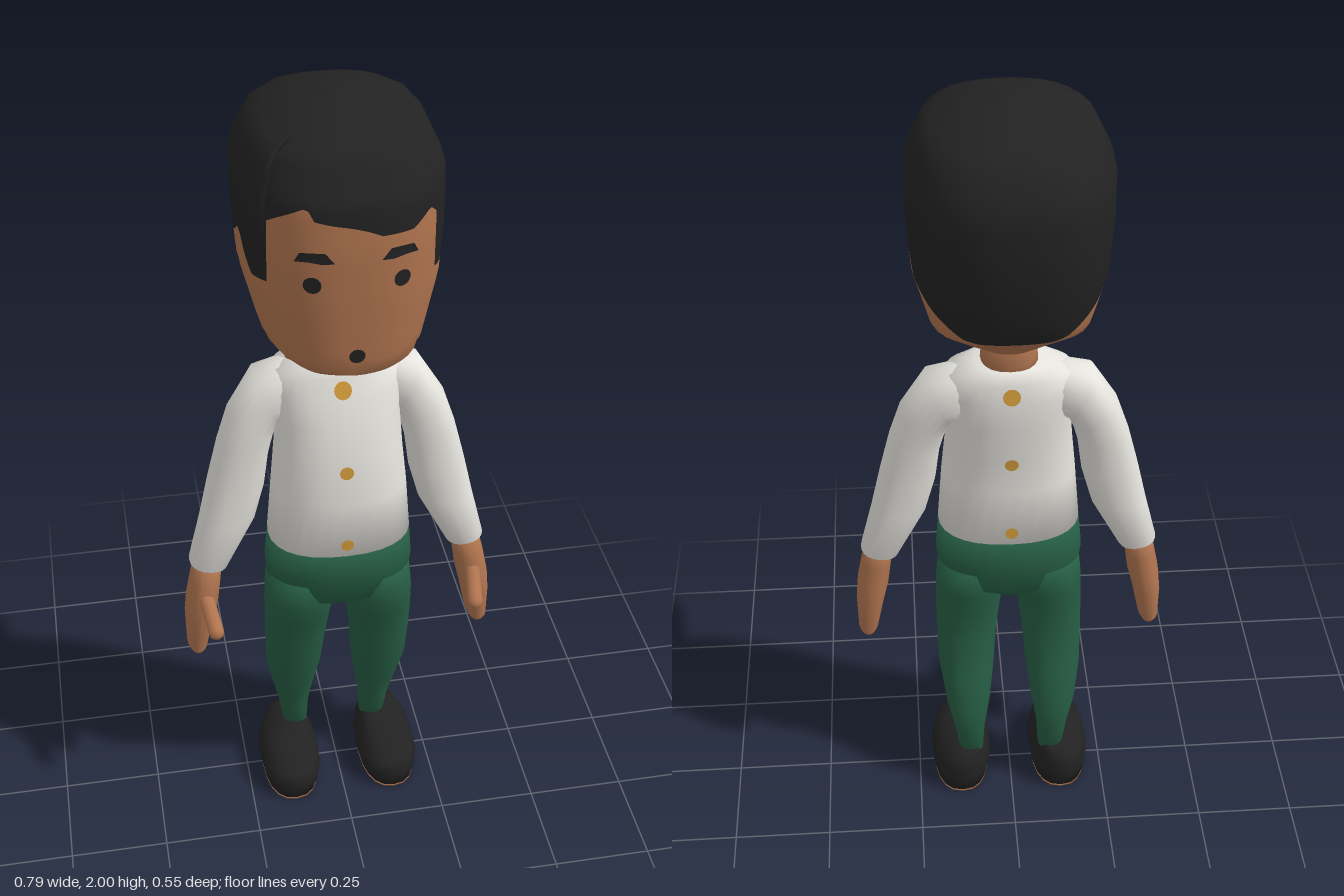
import * as THREE from 'three';

const mat = (name, color) => Object.assign(new THREE.MeshStandardMaterial({ color }), { name });

// A ring is [x0, y0, x1, y1, zFront, zBack, yFront?, yBack?]: its two side points and its depth.
// Returns the point at height parameter t (ring index) and angle a (0 = front, 90 deg = +x).
function ringPoint(rings, n, t, a) {
  const i = Math.min(Math.floor(t), rings.length - 2), f = t - i;
  const full = r => [...r.slice(0, 6), r[6] ?? (r[1] + r[3]) / 2, r[7] ?? (r[1] + r[3]) / 2];
  const lo = full(rings[i]), hi = full(rings[i + 1]);
  const [x0, y0, x1, y1, zf, zb, yf, yb] = lo.map((v, k) => v + (hi[k] - v) * f);
  const power = v => Math.sign(v) * Math.abs(v) ** (2 / n);
  const s = power(Math.sin(a)), c = power(Math.cos(a));
  const ym = (y0 + y1) / 2;
  return new THREE.Vector3(
    (x0 + x1) / 2 + (x1 - x0) / 2 * s,
    ym + (y1 - y0) / 2 * s + ((c > 0 ? yf : yb) - ym) * c * c,
    (zf + zb) / 2 + (zf - zb) / 2 * c);
}

// Height parameter at which the surface reaches y
function findT(rings, n, y, a) {
  let lo = 0, hi = rings.length - 1;
  for (let k = 0; k < 24; k++) {
    const m = (lo + hi) / 2;
    if (ringPoint(rings, n, m, a).y < y) lo = m; else hi = m;
  }
  return lo;
}

// Closed skin over rows of points, listed from bottom to top
function skinRows(rows, groupRow) {
  const cols = rows[0].length, pts = rows.flat(), index = [];
  const quad = (i, j) => {
    const a = i * cols + j, b = i * cols + (j + 1) % cols;
    index.push(a, b, b + cols, a, b + cols, a + cols);
  };
  const middle = row => row.reduce((s, p) => s.add(p), new THREE.Vector3()).divideScalar(cols);
  const bottom = pts.length, top = bottom + 1, last = (rows.length - 1) * cols;
  pts.push(middle(rows[0]), middle(rows[rows.length - 1]));
  for (let j = 0; j < cols; j++) index.push(bottom, (j + 1) % cols, j);
  for (let i = 0; i < rows.length - 1; i++) for (let j = 0; j < cols; j++) quad(i, j);
  for (let j = 0; j < cols; j++) index.push(top, last + j, last + (j + 1) % cols);
  const geo = new THREE.BufferGeometry().setFromPoints(pts);
  geo.setIndex(index);
  geo.computeVertexNormals();
  if (groupRow) {
    const split = cols * 3 + groupRow * cols * 6;
    geo.addGroup(0, split, 0);
    geo.addGroup(split, index.length - split, 1);
  }
  return geo;
}

function loft(rings, n = 2.3, cols = 20) {
  return skinRows(rings.map((_, i) => Array.from({ length: cols },
    (_, j) => ringPoint(rings, n, i, j / cols * Math.PI * 2))));
}

// Thin painted shape laid on the front or back of a lofted surface
function decal(shape, rings, n, back = false) {
  const geo = new THREE.ShapeGeometry(shape, 8), p = geo.attributes.position;
  const base = back ? Math.PI : 0;
  for (let i = 0; i < p.count; i++) {
    const x = p.getX(i), y = p.getY(i), t = findT(rings, n, y, base);
    const half = ringPoint(rings, n, t, Math.PI / 2).x;
    const a = Math.asin(Math.min(1, Math.abs(x) / half) ** (n / 2));
    const z = ringPoint(rings, n, t, back ? Math.PI - a : a).z;
    p.setXYZ(i, back ? -x : x, y, z + (back ? -0.005 : 0.005));
  }
  geo.computeVertexNormals();
  return geo;
}

const even = (y, a, zf, zb, yf, yb) => [-a, y, a, y, zf, zb, yf ?? y, yb ?? y];
const sided = (rings, s) => s > 0 ? rings : rings.map(([a, b, c, d, ...r]) => [-c, d, -a, b, ...r]);
const oval = (x, y, rx, ry) => new THREE.Shape().absellipse(x, y, rx, ry, 0, Math.PI * 2);

const HEAD = [
  even(1.385, .05, .08, -.07, 1.39, 1.395), even(1.42, .125, .2, -.13, 1.415, 1.45),
  even(1.49, .188, .262, -.235, 1.445, 1.53), even(1.62, .222, .272, -.262, 1.62, 1.64),
  even(1.75, .23, .275, -.275), even(1.86, .23, .267, -.271),
  even(1.945, .19, .215, -.222), even(1.985, .1, .13, -.13), even(2, .001, .001, -.001)];
const TORSO = [
  even(.85, .178, .165, -.095), even(1, .166, .161, -.086), even(1.1, .156, .15, -.09),
  even(1.2, .15, .13, -.1), even(1.27, .16, .105, -.1), even(1.32, .15, .085, -.09),
  even(1.348, .08, .072, -.077)];
const HIPS = [
  even(.635, .05, .06, -.04), even(.68, .178, .14, -.082), even(.76, .186, .157, -.098),
  even(.85, .178, .165, -.095)];
const LEG = [
  [.075, .11, .14, .11, -.01, -.092], [.07, .2, .152, .2, .01, -.112], [.055, .29, .172, .29, .035, -.116],
  [.042, .385, .187, .385, .07, -.086], [.033, .5, .19, .5, .09, -.06], [.02, .6, .19, .6, .12, -.07],
  [.01, .66, .188, .66, .14, -.078], [.01, .74, .18, .74, .14, -.085]];
const SLEEVE = [
  [.28, .76, .376, .775, .072, -.035], [.207, .9, .345, .9, .072, -.04], [.18, 1, .32, 1.01, .07, -.045],
  [.168, 1.09, .292, 1.12, .07, -.05], [.155, 1.14, .262, 1.21, .07, -.06],
  [.14, 1.18, .2, 1.31, .066, -.07], [.09, 1.2, .09, 1.34, .055, -.07]];
const HAND = [
  [.35, .5, .388, .5, .07, -.02], [.343, .515, .395, .515, .08, -.03], [.325, .6, .396, .6, .09, -.04],
  [.31, .66, .39, .66, .095, -.037], [.3, .73, .376, .73, .083, -.03], [.295, .775, .365, .775, .06, -.025]];
const SHOE = [
  [.062, .006, .208, .006, .156, -.127], [.054, .05, .215, .05, .162, -.131],
  [.06, .085, .207, .085, .15, -.13], [.075, .107, .19, .107, .07, -.125],
  [.082, .13, .155, .13, .0, -.105]];
const SOLE = [[.062, 0, .208, 0, .156, -.127], [.062, .006, .208, .006, .156, -.127]];

// Hairline height by angle in degrees: parting and fringe at the front, then sideburn to nape
const FRINGE = [[-48, 1.81], [-41, 1.825], [-22, 1.86], [-18, 1.83], [-2, 1.815], [9, 1.79],
  [27, 1.79], [41, 1.82], [48, 1.8]];
const SIDE_HAIR = [[51, 1.66], [66, 1.65], [73, 1.68], [79, 1.73], [83, 1.725], [90, 1.69],
  [105, 1.625], [120, 1.58], [148, 1.53], [180, 1.52]];
const HAIRLINE = [...SIDE_HAIR.map(([a, y]) => [-a, y]).reverse(), ...FRINGE, ...SIDE_HAIR];
function hairY(deg) {
  const k = Math.max(1, HAIRLINE.findIndex(p => p[0] >= deg));
  const [a0, y0] = HAIRLINE[k - 1], [a1, y1] = HAIRLINE[k];
  return y0 + (y1 - y0) * (deg - a0) / (a1 - a0);
}

// Head skin and hair share one surface, divided along the hairline
function headGeometry() {
  const cols = 120, steps = 16, top = HEAD.length - 1;
  const rows = Array.from({ length: 2 * steps + 1 }, () => []);
  for (let j = 0; j < cols; j++) {
    const deg = -180 + j * 360 / cols, a = deg * Math.PI / 180;
    const line = findT(HEAD, 2.5, hairY(deg), a);
    rows.forEach((row, i) => row.push(ringPoint(HEAD, 2.5,
      i <= steps ? line * i / steps : line + (top - line) * (i - steps) / steps, a)));
  }
  return skinRows(rows, steps);
}

export function createModel() {
  const model = new THREE.Group();
  model.name = 'standingMan';
  const skin = mat('skin', 0xb0744f), dark = mat('black', 0x222222), white = mat('shirtWhite', 0xe6e4de);
  const green = mat('trouserGreen', 0x265d43), gold = mat('buttonGold', 0xd09a3a);
  const add = (name, geo, material) => {
    const mesh = new THREE.Mesh(geo, material);
    mesh.name = name;
    model.add(mesh);
    return mesh;
  };

  // Head, neck and trunk
  add('headAndHair', headGeometry(), [skin, dark]);
  add('neck', loft([even(1.32, .075, .08, -.075), even(1.36, .066, .075, -.07),
    even(1.44, .075, .085, -.08)]), skin);
  add('shirtBody', loft(TORSO, 2.3, 28), white);
  add('trouserHips', loft(HIPS, 2.3, 28), green);

  // Mouth and buttons, with buttons on both front and back
  add('mouth', decal(oval(0, 1.5, .018, .018), HEAD, 2.5), dark);
  for (const [y, r] of [[1.295, .021], [1.095, .017], [.887, .016]]) {
    add('frontButton', decal(oval(0, y, r, r), TORSO, 2.3), gold);
    add('backButton', decal(oval(0, y, r, r), TORSO, 2.3, true), gold);
  }

  for (const s of [1, -1]) {
    const side = s > 0 ? 'left' : 'right';
    // Face details
    add(side + 'Eye', decal(oval(s * .097, 1.684, .019, .02), HEAD, 2.5), dark);
    const brow = [[.05, 1.738], [.075, 1.736], [.105, 1.74], [.133, 1.738], [.122, 1.76], [.07, 1.762]];
    add(side + 'Eyebrow', decal(new THREE.Shape(brow.map(([x, y]) => new THREE.Vector2(s * x, y))),
      HEAD, 2.5), dark);

    // Arm and hand
    add(side + 'Sleeve', loft(sided(SLEEVE, s)), white);
    add(side + 'Hand', loft(sided(HAND, s)), skin);
    const from = new THREE.Vector3(s * .345, .695, .06), to = new THREE.Vector3(s * .33, .652, .163);
    const dir = to.clone().sub(from);
    const thumb = add(side + 'Thumb', new THREE.CapsuleGeometry(.02, dir.length(), 4, 10), skin);
    thumb.position.copy(from).lerp(to, .5);
    thumb.quaternion.setFromUnitVectors(new THREE.Vector3(0, 1, 0), dir.normalize());

    // Leg and shoe
    add(side + 'TrouserLeg', loft(sided(LEG, s)), green);
    add(side + 'Shoe', loft(sided(SHOE, s), 2.4), dark);
    add(side + 'Sole', loft(sided(SOLE, s), 2.4), skin);
  }
  return model;
}
